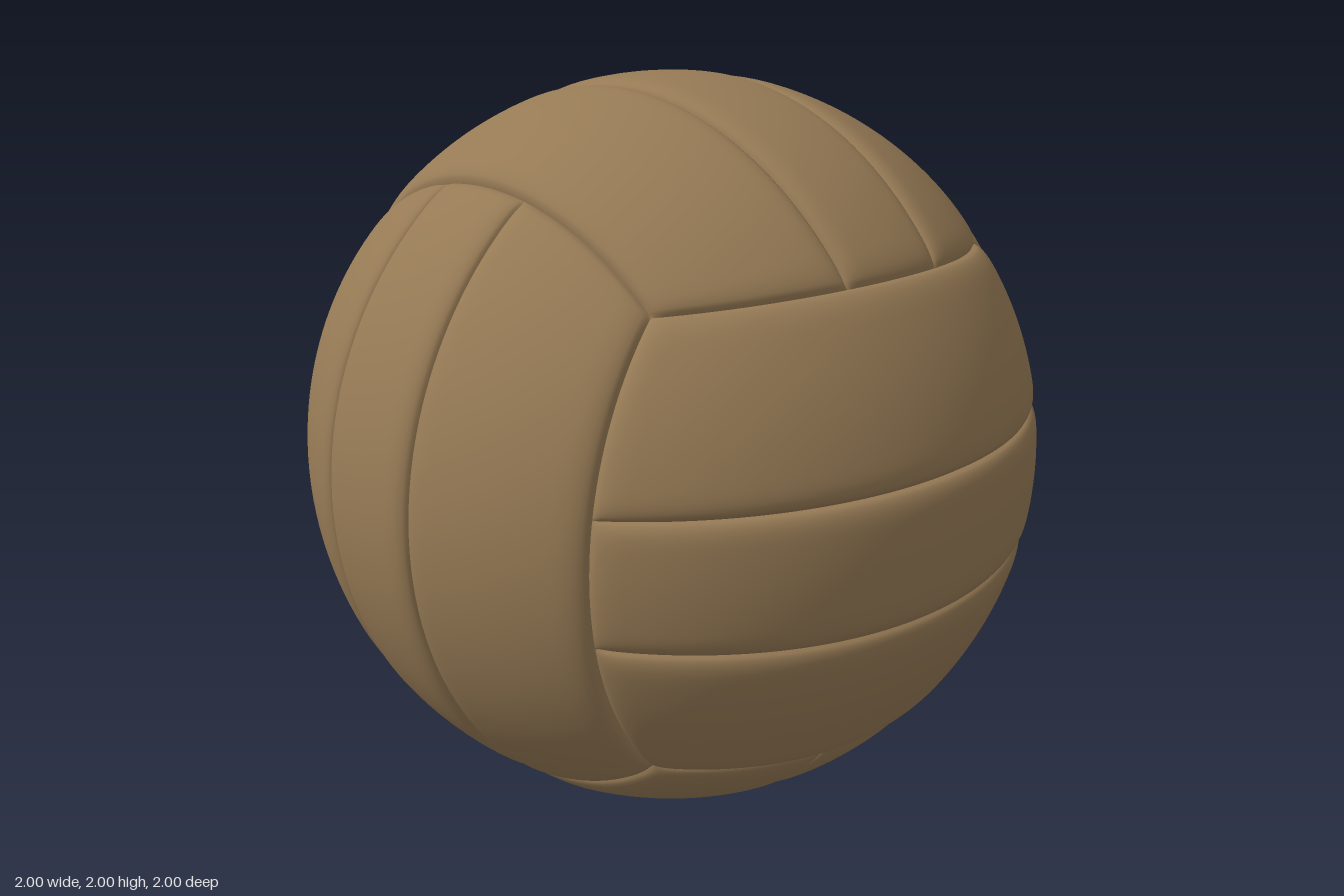
import * as THREE from 'three';

const SEAM_RADIUS = 0.973; // bottom of the grooves
const PUFF = 0.027;        // how far a strip swells out of the grooves

// Edge of a panel: nearly a plane at 0.61, bending in to meet the cube corner
const edge = (q) => 0.61 - 0.1 * q * q;

// Point on the unit sphere in panel axes (long, short, normal), u and v in -1..1
function panelPoint(u, v) {
  let t = v * 0.6, x = 0, z = 1;
  for (let i = 0; i < 10; i++) {
    const ring = Math.sqrt(1 - t * t);
    const a = u * Math.acos(edge(t) / ring);
    x = ring * Math.sin(a);
    z = ring * Math.cos(a);
    t = v * edge(x);
  }
  return new THREE.Vector3(x, t, z).normalize();
}

// Rounded shoulder rising from 0 at a seam to 1 at distance w
function shoulder(d, w) {
  const k = 1 - Math.min(1, Math.max(0, d / w));
  return Math.sqrt(1 - k * k * k);
}

// Grid samples gathered towards both ends, where the surface bends most
const gather = (s) => 0.3 * s + 0.7 * (0.5 - 0.5 * Math.cos(Math.PI * s));

// One padded strip of a panel between v0 and v1
function stripGeometry(v0, v1, axes) {
  const nu = 64, nv = 28;
  const positions = [], index = [];
  for (let j = 0; j <= nv; j++) {
    const v = v0 + (v1 - v0) * gather(j / nv);
    for (let i = 0; i <= nu; i++) {
      const u = 2 * gather(i / nu) - 1;
      const swell = shoulder((v - v0) * 0.6, 0.075) * shoulder((v1 - v) * 0.6, 0.075)
        * shoulder((1 - Math.abs(u)) * 0.88, 0.085);
      const r = SEAM_RADIUS + swell * (PUFF - 0.008 * u ** 4);
      const p = panelPoint(u, v).multiplyScalar(r).applyMatrix4(axes);
      positions.push(p.x, p.y, p.z);
      if (i < nu && j < nv) {
        const a = j * (nu + 1) + i, b = a + nu + 1;
        index.push(a, a + 1, b + 1, a, b + 1, b);
      }
    }
  }
  const geometry = new THREE.BufferGeometry();
  geometry.setAttribute('position', new THREE.Float32BufferAttribute(positions, 3));
  geometry.setIndex(index);
  geometry.computeVertexNormals();
  return geometry;
}

export function createModel() {
  const ball = new THREE.Group();
  ball.name = 'ball';
  const leather = new THREE.MeshStandardMaterial({ color: 0x967a55 });

  // Inner bladder closes the bottom of the seams
  const bladder = new THREE.Mesh(new THREE.SphereGeometry(SEAM_RADIUS - 0.004, 64, 48), leather);
  bladder.name = 'bladder';
  ball.add(bladder);

  // Six panels of three strips; the strip direction turns from panel to panel
  const X = new THREE.Vector3(1, 0, 0), Y = new THREE.Vector3(0, 1, 0), Z = new THREE.Vector3(0, 0, 1);
  const panels = [
    ['frontPanel', X, Y, Z, 1], ['backPanel', X, Y, Z, -1],
    ['topPanel', Z, X, Y, 1], ['bottomPanel', Z, X, Y, -1],
    ['leftPanel', Y, Z, X, 1], ['rightPanel', Y, Z, X, -1],
  ];
  const cuts = [-1, -0.29, 0.29, 1];
  for (const [name, long, short, normal, side] of panels) {
    const panel = new THREE.Group();
    panel.name = name;
    const axes = new THREE.Matrix4().makeBasis(
      long, short.clone().multiplyScalar(side), normal.clone().multiplyScalar(side));
    for (let k = 0; k < 3; k++) {
      const strip = new THREE.Mesh(stripGeometry(cuts[k], cuts[k + 1], axes), leather);
      strip.name = ['lowerStrip', 'middleStrip', 'upperStrip'][k];
      panel.add(strip);
    }
    ball.add(panel);
  }

  ball.position.y = 1;
  const model = new THREE.Group();
  model.name = 'volleyball';
  model.add(ball);
  return model;
}
